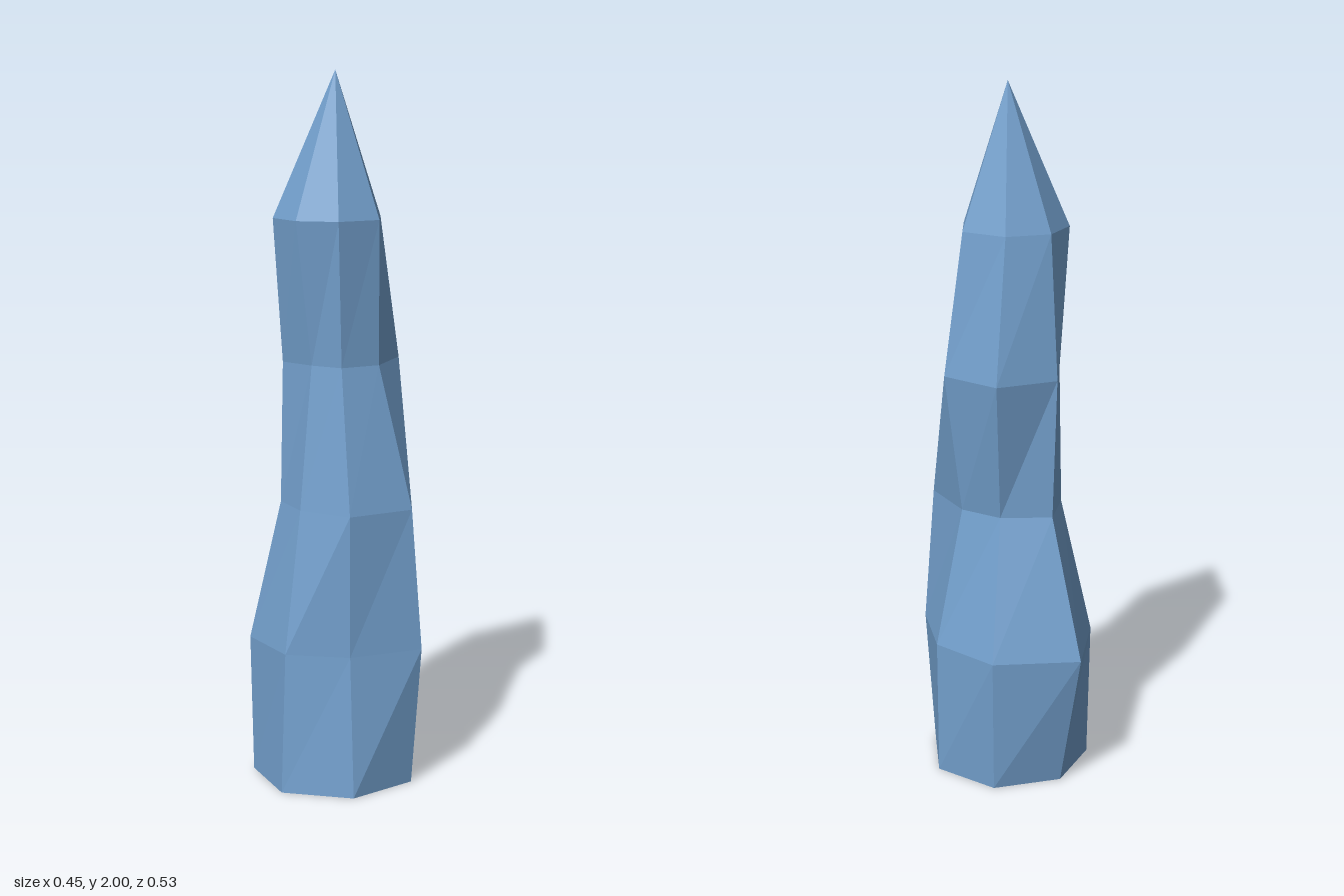
import * as THREE from 'three';

const SIDES = 7;

// Cross-sections of the shard: height, centre x and the radius along each of the seven spokes,
// starting at +x and turning towards +z
const CENTRE_Z = 0.036;
const RINGS = [
  { y: 0.0, x: -0.010, r: [0.232, 0.242, 0.237, 0.240, 0.235, 0.230, 0.232] },
  { y: 0.4, x: -0.013, r: [0.237, 0.274, 0.203, 0.217, 0.240, 0.309, 0.260] },
  { y: 0.8, x: -0.014, r: [0.153, 0.242, 0.201, 0.148, 0.149, 0.184, 0.145] },
  { y: 1.2, x: -0.019, r: [0.210, 0.144, 0.119, 0.090, 0.137, 0.194, 0.220] },
  { y: 1.6, x: -0.033, r: [0.164, 0.157, 0.137, 0.136, 0.150, 0.147, 0.151] },
];
const TIP = [-0.009, 2, CENTRE_Z];

function ringPoint(ring, k) {
  const i = (k + SIDES) % SIDES;
  const a = (i / SIDES) * Math.PI * 2;
  return [ring.x + ring.r[i] * Math.cos(a), ring.y, CENTRE_Z + ring.r[i] * Math.sin(a)];
}

function facetGeometry(corners) {
  const geometry = new THREE.BufferGeometry();
  geometry.setAttribute('position', new THREE.Float32BufferAttribute(corners.flat(), 3));
  geometry.computeVertexNormals();
  return geometry;
}

export function createModel() {
  const group = new THREE.Group();
  group.name = 'crystalSpire';
  const blue = new THREE.MeshStandardMaterial({ color: 0x73a0cd, flatShading: true });
  blue.name = 'crystalBlue';

  const shaft = [], point = [], base = [];
  const top = RINGS[RINGS.length - 1];
  for (let k = 0; k < SIDES; k++) {
    // Crooked shaft: two facets per side between neighbouring rings
    for (let j = 0; j < RINGS.length - 1; j++) {
      const lowL = ringPoint(RINGS[j], k), lowR = ringPoint(RINGS[j], k - 1);
      const upL = ringPoint(RINGS[j + 1], k), upR = ringPoint(RINGS[j + 1], k - 1);
      shaft.push(lowL, lowR, upR, lowL, upR, upL);
    }
    // Pointed end
    point.push(ringPoint(top, k), ringPoint(top, k - 1), TIP);
    // Flat underside
    base.push([RINGS[0].x, 0, CENTRE_Z], ringPoint(RINGS[0], k - 1), ringPoint(RINGS[0], k));
  }

  for (const [name, corners] of Object.entries({ shaft, point, base })) {
    const mesh = new THREE.Mesh(facetGeometry(corners), blue);
    mesh.name = name;
    group.add(mesh);
  }
  return group;
}
